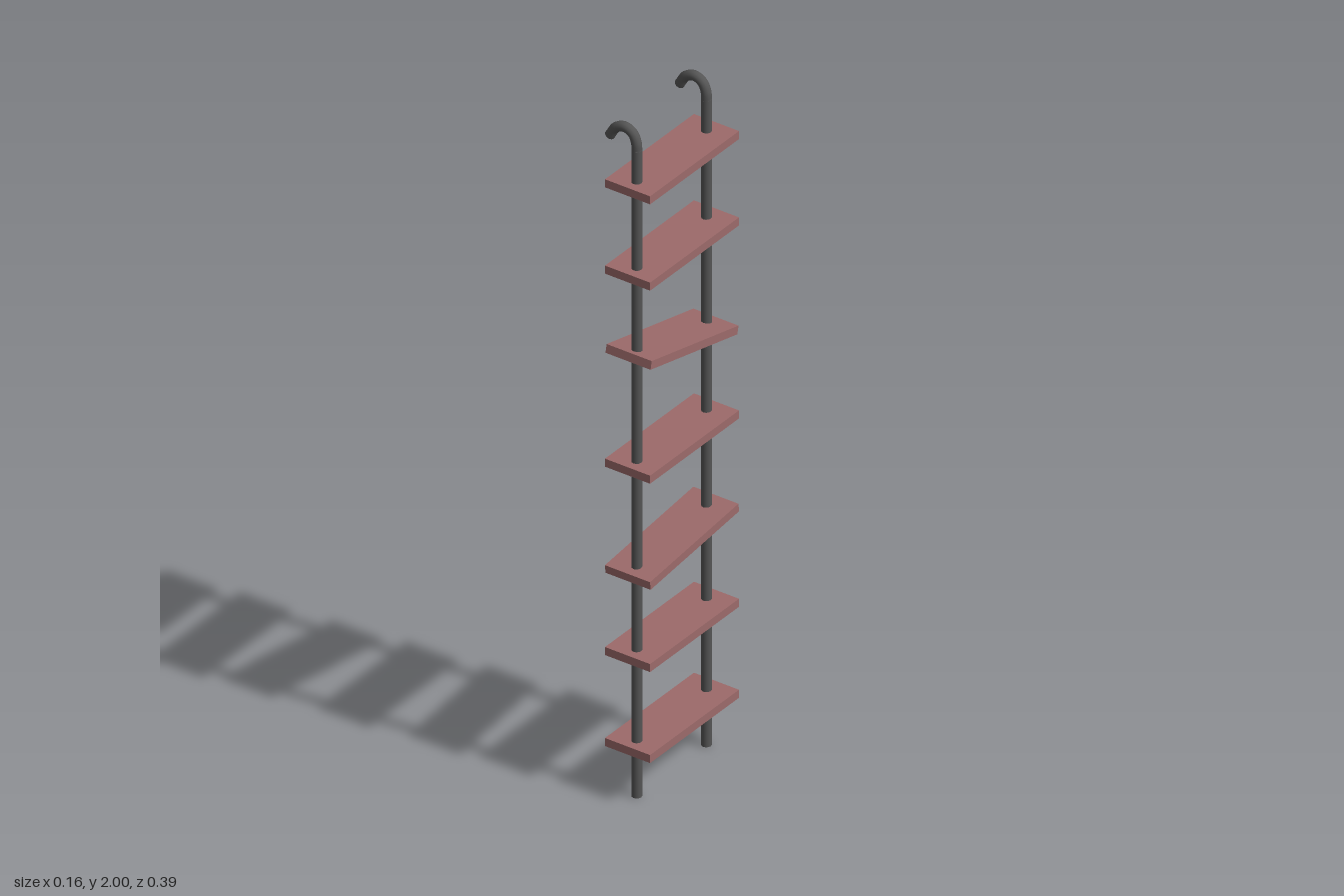
import * as THREE from 'three';

export function createModel() {
  const group = new THREE.Group();
  group.name = 'hangingLadder';
  const metal = new THREE.MeshStandardMaterial({ color: 0x555555 });
  const wood = new THREE.MeshStandardMaterial({ color: 0x9c6a6a });
  const R = 0.014, railX = 0.014, hookStart = 1.93;

  const add = (name, geometry, material, x, y, z, parent = group) => {
    const mesh = new THREE.Mesh(geometry, material);
    mesh.name = name;
    mesh.position.set(x, y, z);
    parent.add(mesh);
    return mesh;
  };

  // Hook curve, bending over towards -x
  const hookCurve = new THREE.CatmullRomCurve3([
    [railX, hookStart], [0.013, 1.95], [0.002, 1.975], [-0.022, 1.986],
    [-0.049, 1.976], [-0.07, 1.945],
  ].map(([x, y]) => new THREE.Vector3(x, y, 0)));
  const hookGeometry = new THREE.TubeGeometry(hookCurve, 20, R, 12);
  const railGeometry = new THREE.CylinderGeometry(R, R, hookStart, 12);
  const tipGeometry = new THREE.CircleGeometry(R, 12);

  // Two side rails, each with a hook and a closed hook tip
  for (const [name, z] of [['frontRail', 0.155], ['backRail', -0.148]]) {
    const rail = new THREE.Group();
    rail.name = name;
    rail.position.z = z;
    group.add(rail);
    add('railPole', railGeometry, metal, railX, hookStart / 2, 0, rail);
    add('railHook', hookGeometry, metal, 0, 0, 0, rail);
    const end = hookCurve.getPoint(1);
    const tip = add('hookTip', tipGeometry, metal, end.x, end.y, 0, rail);
    tip.quaternion.setFromUnitVectors(new THREE.Vector3(0, 0, 1), hookCurve.getTangent(1));
  }

  // Plank steps: height and tilt about x
  const stepGeometry = new THREE.BoxGeometry(0.141, 0.024, 0.387);
  const steps = [
    [0.153, 0], [0.425, 0], [0.69, 0.105], [0.988, 0],
    [1.285, -0.22], [1.565, 0], [1.823, 0],
  ];
  steps.forEach(([y, tilt], i) => {
    add(`step${i + 1}`, stepGeometry, wood, 0.012, y, -0.001).rotation.x = tilt;
  });

  return group;
}
